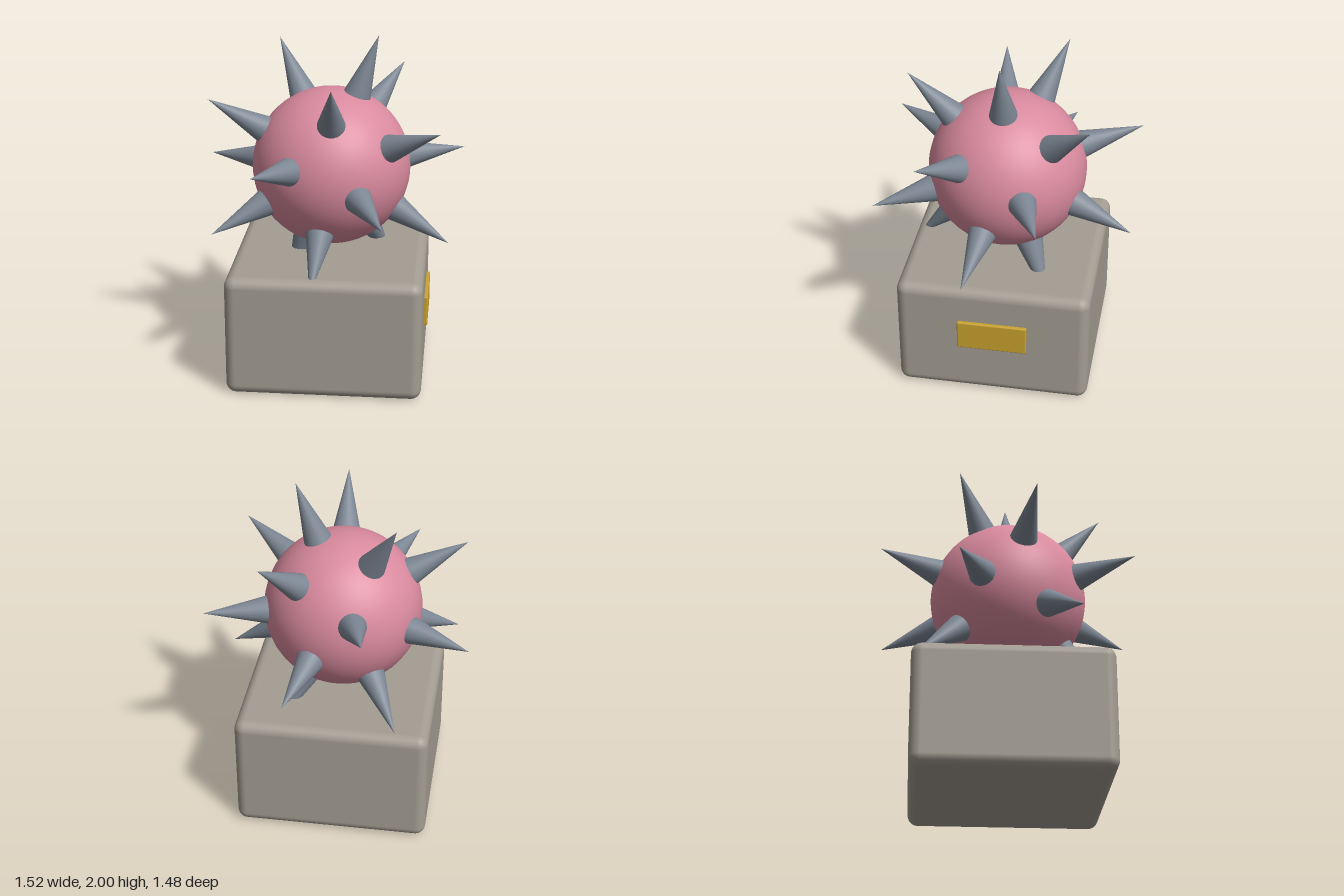
import * as THREE from 'three';
import { RoundedBoxGeometry } from 'three/addons/geometries/RoundedBoxGeometry.js';

export function createModel() {
  const group = new THREE.Group();
  const material = (name, color) => {
    const m = new THREE.MeshStandardMaterial({ color });
    m.name = name;
    return m;
  };
  const stone = material('warm grey stone', 0xa39d92);
  const pink = material('pink', 0xd98a9e);
  const steel = material('blue grey steel', 0x7d8794);
  const gold = material('gold', 0xc9a22e);

  const add = (name, geometry, mat, x, y, z, parent = group) => {
    const mesh = new THREE.Mesh(geometry, mat);
    mesh.name = name;
    mesh.position.set(x, y, z);
    parent.add(mesh);
    return mesh;
  };

  // Rounded plinth with a plaque on its left side
  add('plinth', new RoundedBoxGeometry(1.122, 0.712, 1.122, 5, 0.06), stone, -0.007, 0.359, 0.014);
  add('plaque', new RoundedBoxGeometry(0.04, 0.18, 0.405, 3, 0.008), gold, 0.554, 0.412, 0.012);

  // Ball
  const ball = new THREE.Group();
  ball.name = 'spikedBall';
  ball.position.set(-0.006, 1.23, 0.012);
  group.add(ball);
  add('ball', new THREE.SphereGeometry(0.457, 48, 32), pink, 0, 0, 0, ball);

  // Spikes spread evenly by the golden angle, bases sunk into the ball
  const count = 18, start = 0.43, tip = 0.815;
  const golden = Math.PI * (3 - Math.sqrt(5));
  const spike = new THREE.ConeGeometry(0.084, tip - start, 24);
  spike.translate(0, (start + tip) / 2, 0);
  const up = new THREE.Vector3(0, 1, 0);
  for (let i = 0; i < count; i++) {
    const y = 1 - (2 * i + 1) / count;
    const r = Math.sqrt(1 - y * y);
    const direction = new THREE.Vector3(r * Math.cos(i * golden), y, -r * Math.sin(i * golden));
    add('spike', spike, steel, 0, 0, 0, ball).quaternion.setFromUnitVectors(up, direction);
  }
  return group;
}
